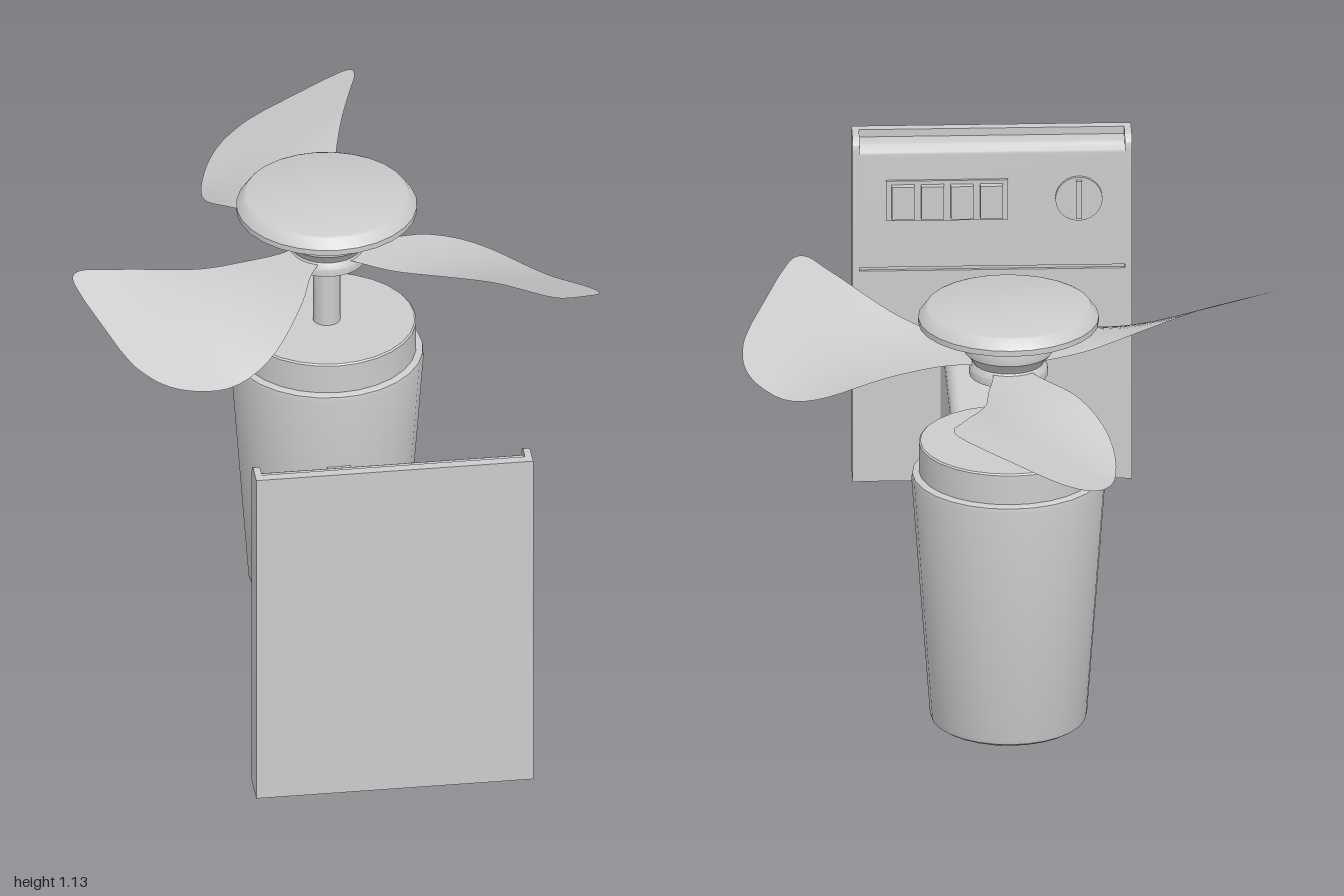
import * as THREE from 'three';
import { toCreasedNormals } from 'three/addons/utils/BufferGeometryUtils.js';

const CX = -0.005; // shared centre line of the model
const FAN_Z = -0.29; // axis of motor and propeller

export function createModel() {
  const model = new THREE.Group();
  const grey = new THREE.MeshStandardMaterial({ color: 0xcccccc });
  const thin = new THREE.MeshStandardMaterial({ color: 0xcccccc, side: THREE.DoubleSide });

  function add(parent, name, geometry, material = grey) {
    const mesh = new THREE.Mesh(geometry, material);
    mesh.name = name;
    parent.add(mesh);
    return mesh;
  }
  function group(name, x = 0, y = 0, z = 0) {
    const g = new THREE.Group();
    g.name = name;
    g.position.set(x, y, z);
    model.add(g);
    return g;
  }
  function box(parent, name, x0, x1, y0, y1, z0, z1) {
    const mesh = add(parent, name, new THREE.BoxGeometry(x1 - x0, y1 - y0, z1 - z0));
    mesh.position.set((x0 + x1) / 2, (y0 + y1) / 2, (z0 + z1) / 2);
    return mesh;
  }
  // Turned part from a [radius, height] profile, bottom to top
  function turned(parent, name, profile) {
    const pts = profile.map(([r, y]) => new THREE.Vector2(r, y));
    return add(parent, name, toCreasedNormals(new THREE.LatheGeometry(pts, 28), 0.6));
  }
  // Side profile in (z, y) extruded across x
  function extrudeX(parent, name, shape, x0, x1) {
    const g = new THREE.ExtrudeGeometry(shape, { depth: x1 - x0, bevelEnabled: false, curveSegments: 10 });
    g.rotateY(-Math.PI / 2).translate(x1, 0, 0);
    return add(parent, name, toCreasedNormals(g, 0.6));
  }

  // ---- Motor housing ----
  const motor = group('motor', CX, 0, FAN_Z);
  turned(motor, 'motorBody', [[0, 0], [0.185, 0], [0.197, 0.008], [0.2, 0.02], [0.247, 0.665],
    [0.245, 0.678], [0.235, 0.683], [0.228, 0.683]]);
  turned(motor, 'motorCollar', [[0.228, 0.67], [0.228, 0.762], [0.224, 0.766], [0, 0.766]]);
  turned(motor, 'shaft', [[0.035, 0.75], [0.035, 0.96]]);

  // ---- Propeller ----
  const propeller = group('propeller', CX, 0, FAN_Z);
  turned(propeller, 'hub', [[0, 0.95], [0.1, 0.95], [0.1, 0.97], [0.09, 0.985], [0.1, 1.0], [0.113, 1.015],
    [0.115, 1.04], [0.108, 1.06], [0.09, 1.071], [0, 1.072]]);
  turned(propeller, 'cap', [[0, 1.092], [0.23, 1.092], [0.23, 1.107], [0.212, 1.132], [0.205, 1.135], [0, 1.135]]);

  // Blade edges: left x, distance from axis, right x
  const edges = new THREE.CatmullRomCurve3([
    [-0.05, 0.06, 0.04], [-0.09, 0.12, 0.045], [-0.17, 0.21, 0.058], [-0.245, 0.35, 0.07], [-0.257, 0.48, 0.1],
    [-0.225, 0.6, 0.14], [-0.18, 0.665, 0.162], [-0.12, 0.7, 0.15], [-0.06, 0.71, 0.09],
  ].map((p) => new THREE.Vector3(...p)));
  const blade = new THREE.PlaneGeometry(1, 1, 12, 32);
  const pos = blade.attributes.position;
  for (let i = 0; i < pos.count; i++) {
    const e = edges.getPoint(pos.getY(i) + 0.5);
    const x = THREE.MathUtils.lerp(e.x, e.z, pos.getX(i) + 0.5);
    const pitch = 0.51 * THREE.MathUtils.smoothstep(e.y, 0.1, 0.55);
    pos.setXYZ(i, x, 0.98 + pitch * (x + 0.03), -e.y);
  }
  blade.computeVertexNormals();
  for (let i = 0; i < 3; i++) {
    add(propeller, 'blade' + (i + 1), blade, thin).rotation.y = (i * Math.PI * 2) / 3;
  }

  // ---- Arm: lofted through sections with rounded upper corners ----
  // section: [z, x0, x1, y0, y1, left corner radius, right corner radius]
  function loft(parent, name, sections) {
    const rings = sections.map(([z, x0, x1, y0, y1, rl, rr]) => {
      const ring = [[x0, y0, z], [x1, y0, z]];
      for (let k = 0; k <= 5; k++) {
        const a = (k / 5) * Math.PI / 2;
        ring.push([x1 - rr + rr * Math.cos(a), y1 - rr + rr * Math.sin(a), z]);
      }
      for (let k = 0; k <= 5; k++) {
        const a = Math.PI / 2 + (k / 5) * Math.PI / 2;
        ring.push([x0 + rl + rl * Math.cos(a), y1 - rl + rl * Math.sin(a), z]);
      }
      return ring;
    });
    const n = rings[0].length;
    const index = [];
    const last = (rings.length - 1) * n;
    for (let s = 0; s < rings.length - 1; s++) {
      for (let k = 0; k < n; k++) {
        const a = s * n + k, b = s * n + ((k + 1) % n);
        index.push(a, a + n, b, b, a + n, b + n);
      }
    }
    for (let k = 1; k < n - 1; k++) {
      index.push(0, k, k + 1, last, last + k + 1, last + k);
    }
    const g = new THREE.BufferGeometry();
    g.setAttribute('position', new THREE.Float32BufferAttribute(rings.flat(2), 3));
    g.setIndex(index);
    return add(parent, name, toCreasedNormals(g, 0.6));
  }
  const arm = group('arm', CX);
  loft(arm, 'armBeam', [
    [0.92, -0.132, 0.132, 0.253, 0.595, 0.04, 0.04],
    [0.17, -0.112, 0.112, 0.253, 0.468, 0.02, 0.02],
    [0.14, -0.111, 0.111, 0.253, 0.466, 0.02, 0.02],
  ]);
  // Two prongs either side of the hinge slot, with rounded ends
  for (const side of [-1, 1]) {
    const stations = [[0.14, 0], [0.04, 0], [0.015, 0.008], [-0.005, 0.02], [-0.02, 0.04], [-0.03, 0.07]];
    loft(arm, side < 0 ? 'rightProng' : 'leftProng', stations.map(([z, inset]) => {
      const xs = [0.04 * side, (0.107 + 0.025 * z) * side].sort((a, b) => a - b);
      return [z, xs[0], xs[1], 0.253 + inset, 0.466 - inset, side < 0 ? 0.018 : 0.002, side < 0 ? 0.002 : 0.018];
    }));
  }
  // Hinge tongue reaching from the motor into the slot
  const tongue = new THREE.Shape();
  tongue.moveTo(-0.1, 0.255);
  tongue.lineTo(0.035, 0.255);
  tongue.absarc(0.035, 0.36, 0.105, -Math.PI / 2, Math.PI / 2, false);
  tongue.lineTo(-0.1, 0.465);
  extrudeX(arm, 'hingeTongue', tongue, -0.03, 0.03);

  // ---- Wall plate: front sheet, side rails and inner panels ----
  const plate = group('wallPlate');
  const L = -0.36, R = 0.35;
  function plateProfile(y0, y1, z0, z1, r) {
    const s = new THREE.Shape();
    s.moveTo(z0, y0);
    s.lineTo(z1, y0);
    s.lineTo(z1, y1);
    s.lineTo(z0 + r, y1);
    s.quadraticCurveTo(z0, y1, z0, y1 - r);
    return s;
  }
  box(plate, 'wallSheet', L, R, 0.145, 1.09, 0.975, 1);
  const rail = plateProfile(0.145, 1.09, 0.912, 0.98, 0.035);
  extrudeX(plate, 'rightRail', rail, L, L + 0.018);
  extrudeX(plate, 'leftRail', rail, R - 0.018, R);
  box(plate, 'lowerPanel', L + 0.018, R - 0.018, 0.145, 0.725, 0.915, 0.98);
  extrudeX(plate, 'controlPanel', plateProfile(0.735, 1.07, 0.915, 0.98, 0.03), L + 0.018, R - 0.018);
  box(plate, 'panelGroove', L + 0.018, R - 0.018, 0.72, 0.74, 0.924, 0.98);

  // ---- Controls ----
  const controls = group('controls');
  box(controls, 'buttonFrame', -0.045, 0.265, 0.865, 0.975, 0.908, 0.93);
  for (let i = 0; i < 4; i++) {
    const x = -0.003 + i * 0.075;
    box(controls, 'button' + (i + 1), x - 0.029, x + 0.029, 0.875, 0.965, 0.89, 0.92);
  }
  const dial = add(controls, 'dial', toCreasedNormals(new THREE.CylinderGeometry(0.06, 0.06, 0.015, 24), 0.6));
  dial.rotation.x = Math.PI / 2;
  dial.position.set(-0.225, 0.92, 0.914);
  box(controls, 'dialGrip', -0.233, -0.217, 0.868, 0.972, 0.898, 0.915);

  return model;
}
